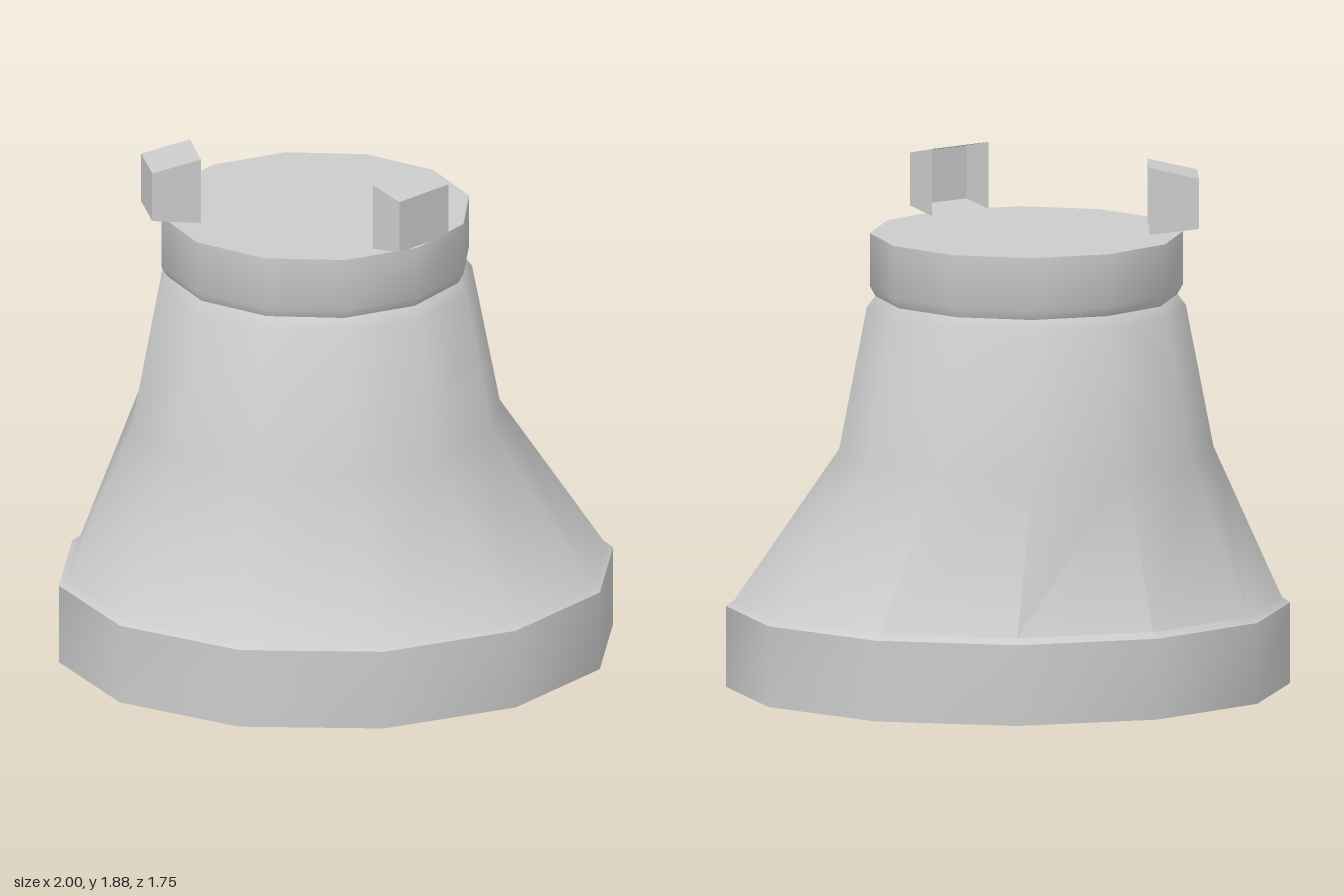
import * as THREE from 'three';
import { toCreasedNormals } from 'three/addons/utils/BufferGeometryUtils.js';

const SIDES = 12;
const grey = () => new THREE.MeshStandardMaterial({ color: 0xcccccc, side: THREE.DoubleSide });

// Stack of elliptical rings [y, centre x, centre z, radius x, radius z], optionally capped
function loft(rings, { bottom = false, top = false } = {}) {
  const pos = [], index = [];
  for (const [y, cx, cz, rx, rz] of rings) {
    for (let i = 0; i < SIDES; i++) {
      const a = (i / SIDES) * Math.PI * 2;
      pos.push(cx + Math.cos(a) * rx, y, cz - Math.sin(a) * rz);
    }
  }
  for (let r = 0; r < rings.length - 1; r++) {
    for (let i = 0; i < SIDES; i++) {
      const j = (i + 1) % SIDES;
      const a = r * SIDES + i, b = r * SIDES + j;
      index.push(a, b, b + SIDES, a, b + SIDES, a + SIDES);
    }
  }
  const cap = (r, up) => {
    const c = pos.length / 3;
    pos.push(rings[r][1], rings[r][0], rings[r][2]);
    for (let i = 0; i < SIDES; i++) {
      const a = r * SIDES + i, b = r * SIDES + ((i + 1) % SIDES);
      if (up) index.push(c, a, b);
      else index.push(c, b, a);
    }
  };
  if (bottom) cap(0, false);
  if (top) cap(rings.length - 1, true);
  const g = new THREE.BufferGeometry();
  g.setAttribute('position', new THREE.Float32BufferAttribute(pos, 3));
  g.setIndex(index);
  return toCreasedNormals(g, 0.75);
}

// Tapered hollow lug: local +z is the small outer end, the inner end is open
function lug(name, x, z, turn, width, depth, outerLow, outerHigh) {
  const box = new THREE.BoxGeometry(width, 1, depth);
  box.setIndex(Array.from(box.index.array).slice(0, 30)); // drop the inner face
  const p = box.attributes.position;
  for (let i = 0; i < p.count; i++) {
    const outer = p.getZ(i) > 0, high = p.getY(i) > 0;
    p.setY(i, outer ? (high ? outerHigh : outerLow) : (high ? 1.88 : 1.64));
  }
  const g = box.toNonIndexed();
  g.computeVertexNormals();
  const mesh = new THREE.Mesh(g, grey());
  mesh.name = name;
  mesh.position.set(x, 0, z);
  mesh.rotation.y = turn;
  return mesh;
}

export function createModel() {
  const group = new THREE.Group();
  group.name = 'flaredPedestal';

  const add = (name, rings, caps) => {
    const mesh = new THREE.Mesh(loft(rings, caps), grey());
    mesh.name = name;
    group.add(mesh);
  };

  // Oval foot and flared column, leaning toward the back and the right
  add('footAndColumn', [
    [0, 0, 0, 1, 0.875],
    [0.29, 0, 0, 1, 0.875],
    [0.31, 0, 0, 0.97, 0.845],
    [0.86, -0.063, -0.05, 0.663, 0.66],
    [1.37, -0.063, -0.057, 0.565, 0.565],
    [1.41, -0.063, -0.06, 0.535, 0.535],
  ], { bottom: true });

  // Round cap above the groove
  add('cap', [
    [1.41, -0.063, -0.06, 0.535, 0.535],
    [1.445, -0.063, -0.06, 0.555, 0.552],
    [1.635, -0.063, -0.06, 0.555, 0.552],
  ], { top: true });

  // Two lugs on the rim
  group.add(lug('sideLug', -0.583, -0.062, -Math.PI / 2, 0.205, 0.176, 1.66, 1.84));
  group.add(lug('frontLug', 0.193, 0.393, 0.607, 0.25, 0.13, 1.66, 1.85));
  return group;
}
